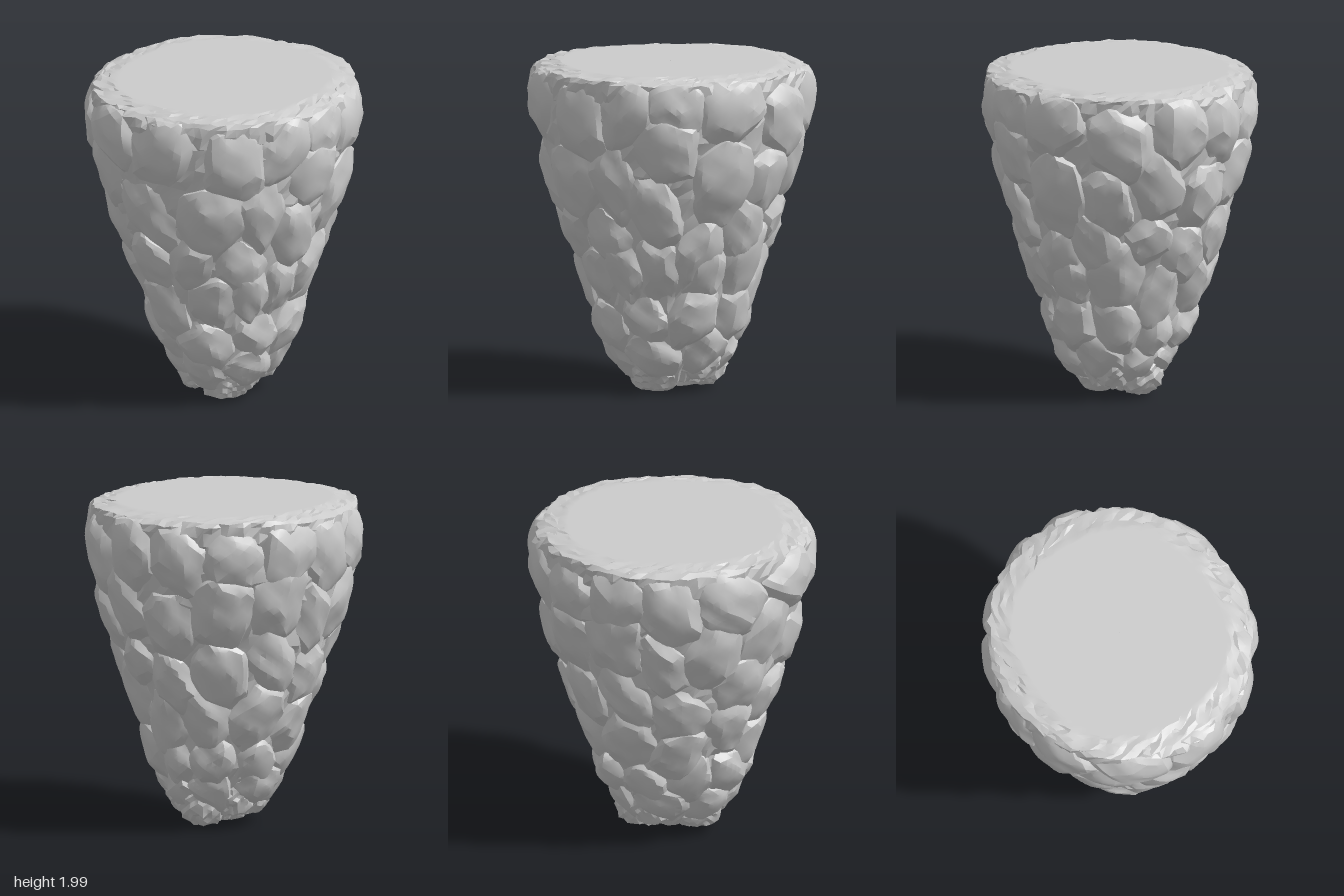
import * as THREE from 'three';
import { toCreasedNormals } from 'three/addons/utils/BufferGeometryUtils.js';

// Seeded random numbers
let seed = 11;
const rand = () => {
  seed = (seed * 1664525 + 1013904223) % 4294967296;
  return seed / 4294967296;
};
const spread = (a) => (rand() - 0.5) * 2 * a;

// Outer radius of the rock at each height
const PROFILE = [
  [0, 0.13], [0.06, 0.22], [0.2, 0.325], [0.4, 0.435], [0.6, 0.5], [0.8, 0.57], [1, 0.635],
  [1.2, 0.7], [1.4, 0.765], [1.6, 0.815], [1.8, 0.835], [1.92, 0.82], [2, 0.79],
];
function radiusAt(y) {
  if (y <= 0) return PROFILE[0][1];
  for (let i = 1; i < PROFILE.length; i++) {
    const [y0, r0] = PROFILE[i - 1], [y1, r1] = PROFILE[i];
    if (y <= y1) return r0 + (r1 - r0) * (y - y0) / (y1 - y0);
  }
  return 0.79;
}

// Angle 0 faces the front, 90 degrees faces +x; the foot leans to +x and is deeper than wide
function place(theta, r, y, out) {
  const low = Math.max(0, 1 - y / 0.6);
  return out.set(Math.sin(theta) * r * 0.985 + 0.04 * low, y, Math.cos(theta) * r * (1.035 + 0.12 * low));
}

// Smooth lumpy noise
const wobble = (x, y, z) =>
  Math.sin(x * 17 + y * 9) * Math.sin(y * 21 + z * 7 + 1) * Math.sin(z * 19 - x * 6 + 2);

// Boulder: a pillow cut by random planes, then mapped into position by a rule
function boulder(detail, map) {
  const planes = [];
  const count = 24, turn = rand() * 6.28;
  for (let i = 0; i < count; i++) {
    const c = 1 - 2 * (i + 0.5) / count, a = turn + i * 2.39996;
    const s = Math.sqrt(1 - c * c);
    const n = new THREE.Vector3(s * Math.cos(a) + spread(0.3), c + spread(0.3), s * Math.sin(a) + spread(0.3));
    planes.push({ n: n.normalize(), h: 0.94 + rand() * 0.14 });
  }
  const geo = new THREE.IcosahedronGeometry(1, detail);
  const pos = geo.attributes.position, v = new THREE.Vector3();
  for (let i = 0; i < pos.count; i++) {
    v.fromBufferAttribute(pos, i).normalize();
    const p = 3.2;
    const box = (Math.abs(v.x) ** p + Math.abs(v.y) ** p + Math.abs(v.z) ** p) ** (-1 / p);
    let r = box * 1.02;
    for (const { n, h } of planes) {
      const d = v.dot(n);
      if (d > 0.1) r = Math.min(r, h / d);
    }
    v.multiplyScalar(r);
    map(v);
    pos.setXYZ(i, v.x, v.y, v.z);
  }
  geo.deleteAttribute('normal');
  geo.deleteAttribute('uv');
  return toCreasedNormals(geo, 0.35);
}

// Rows of boulders: half height, then pairs of angle and height
const ROWS = [
  { name: 'topBoulder', h: 0.28, at: [3, 1.77, 36, 1.7, 61, 1.8, 83, 1.85, 110, 1.83, 139, 1.7, 167, 1.78,
    192, 1.76, 218, 1.73, 245, 1.8, 269, 1.73, 298, 1.75, 330, 1.81] },
  { name: 'upperBoulder', h: 0.27, at: [-11, 1.3, 25, 1.28, 50, 1.32, 78, 1.57, 106, 1.33, 133, 1.3, 158, 1.42,
    185, 1.3, 212, 1.4, 240, 1.45, 266, 1.32, 290, 1.4, 318, 1.48] },
  { name: 'middleBoulder', h: 0.23, at: [-18, 0.95, 12, 1.0, 42, 0.95, 73, 1.15, 97, 0.9, 127, 1.0, 155, 1.05,
    183, 0.94, 212, 1.0, 243, 1.08, 275, 0.96, 309, 1.13] },
  { name: 'lowerBoulder', h: 0.24, at: [-17, 0.62, 25, 0.72, 50, 0.78, 72, 0.8, 103, 0.78, 136, 0.8, 168, 0.66,
    203, 0.7, 238, 0.74, 274, 0.66, 311, 0.84] },
  { name: 'baseBoulder', h: 0.21, at: [11, 0.38, 62, 0.44, 100, 0.48, 138, 0.48, 172, 0.42, 207, 0.44, 247, 0.4,
    286, 0.44, 324, 0.44] },
  { name: 'footBoulder', h: 0.17, at: [5, 0.2, 60, 0.22, 122, 0.24, 160, 0.2, 205, 0.21, 260, 0.26, 315, 0.2] },
];

// Boulder wrapped onto the tapering wall, chipped all over and trimmed level at the top
function wallBoulder(theta, y0, halfAngle, h) {
  const depth = 0.14 + rand() * 0.03, out = spread(0.012), skew = spread(0.2), roll = spread(0.18);
  return boulder(6, (v) => {
    const y = y0 + (v.y + v.x * skew) * h;
    const chip = wobble(v.x * 0.35 + theta, v.y * 0.3 + y0, v.z * 0.3) * 0.01;
    const r = Math.max(0.03, radiusAt(y) + out + chip + 0.008 + (Math.max(v.z, -0.3) - 1) * depth);
    const a = theta + (v.x + v.y * roll) * halfAngle;
    place(a, r, y, v);
    const rough = wobble(v.x * 2.5, y * 2, v.z * 2.5) * 0.012;
    const lid = 1.976 - Math.max(0, r - 0.68) * 0.1 + rough;
    v.y = Math.max(0.01, Math.min(v.y, lid));
  });
}

// Rough ring grid from [radius, height, radius jitter, height jitter] stations
function ringSurface(stations, sides) {
  const pos = [], index = [], v = new THREE.Vector3();
  stations.forEach(([r, y, jitter, lift], j) => {
    for (let i = 0; i < sides; i++) {
      const a = ((i + spread(0.25) * Math.sign(jitter)) / sides) * Math.PI * 2;
      const square = 1 + 0.025 * Math.cos(4 * a + Math.PI);
      place(a, r * (y > 1.97 ? square : 1) + spread(jitter), y + spread(lift), v);
      pos.push(v.x, Math.min(2, Math.max(0, v.y)), v.z);
      if (j > 0) {
        const k = (i + 1) % sides, p = (j - 1) * sides, q = j * sides;
        index.push(p + i, p + k, q + k, p + i, q + k, q + i);
      }
    }
  });
  const geo = new THREE.BufferGeometry();
  geo.setAttribute('position', new THREE.Float32BufferAttribute(pos, 3));
  geo.setIndex(index);
  return toCreasedNormals(geo, 0.3);
}

export function createModel() {
  seed = 11;
  const model = new THREE.Group();
  model.name = 'taperedRock';
  const stone = new THREE.MeshStandardMaterial({ color: 0xcccccc });
  const add = (name, geo, parent = model) => {
    const mesh = new THREE.Mesh(geo, stone);
    mesh.name = name;
    parent.add(mesh);
  };

  // Rough core that fills the gaps between boulders
  const core = [[0.001, 0.05, 0, 0]];
  for (let y = 0.06; y < 1.88; y += 0.07) core.push([Math.max(0.06, radiusAt(y) - 0.05), y, 0.015, 0.012]);
  add('core', ringSurface(core, 60));

  // Flat top with a crumbled rim, its skirt tucked into the core
  add('topPlateau', ringSurface([
    [0.72, 1.76, 0, 0], [0.785, 1.83, 0.015, 0.02], [0.8, 1.9, 0.015, 0.015], [0.795, 1.95, 0.015, 0.008],
    [0.77, 1.973, 0.014, 0.007], [0.735, 1.979, 0.014, 0.008], [0.705, 1.984, 0.014, 0.008],
    [0.675, 1.989, 0.012, 0.005], [0.65, 1.994, 0.01, 0], [0.63, 1.994, 0, 0], [0.001, 1.994, 0, 0],
  ], 100));

  // Rings of boulders, each as wide as the gap to its neighbours
  for (const { name, h, at } of ROWS) {
    const ring = new THREE.Group();
    ring.name = name + 'Ring';
    model.add(ring);
    const n = at.length / 2;
    for (let i = 0; i < n; i++) {
      const before = at[((i + n - 1) % n) * 2], after = at[((i + 1) % n) * 2];
      const gap = (((after - before) % 360) + 360) % 360;
      const halfAngle = THREE.MathUtils.degToRad(gap / 4) * (1.2 + rand() * 0.15);
      add(name, wallBoulder(THREE.MathUtils.degToRad(at[i * 2]), at[i * 2 + 1], halfAngle, h * (0.95 + rand() * 0.2)), ring);
    }
  }

  // Knobs hanging at the foot in two lobes: centre, then half sizes
  const KNOBS = [
    [0.08, 0.16, 0.1, 0.17, 0.16, 0.17], [-0.08, 0.18, 0.15, 0.13, 0.13, 0.14],
    [0.02, 0.17, -0.2, 0.14, 0.15, 0.14], [-0.12, 0.22, -0.12, 0.13, 0.14, 0.14],
    [0.17, 0.22, -0.12, 0.12, 0.14, 0.15],
  ];
  for (const [x, y, z, a, b, c] of KNOBS) {
    add('footKnob', boulder(5, (v) => {
      const rough = 1 + wobble(v.x * 0.5, v.y * 0.5, v.z * 0.5) * 0.1;
      v.set(x + v.x * a * rough, Math.max(0, y + v.y * b * rough), z + v.z * c * rough);
    }));
  }
  return model;
}
